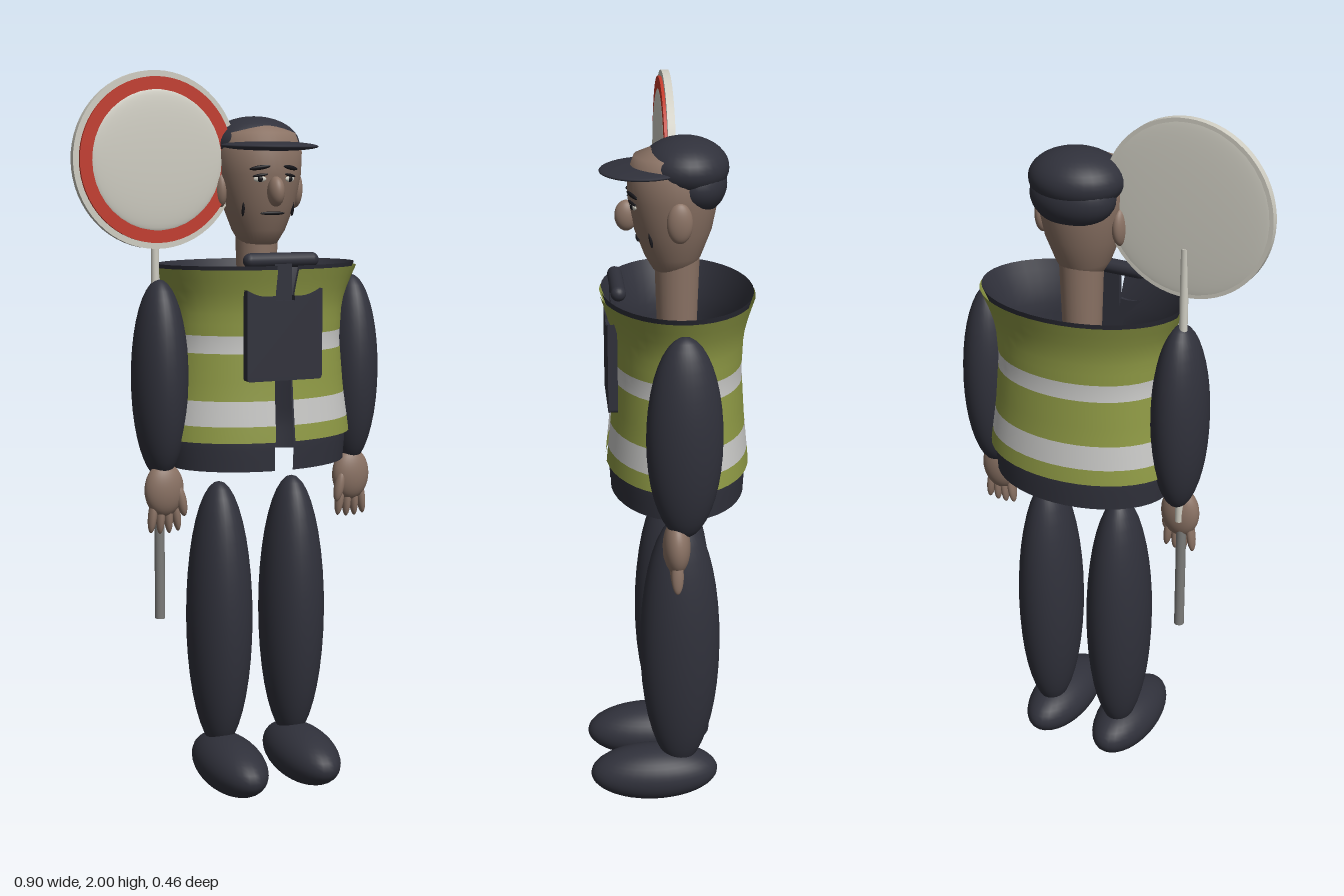
import * as THREE from 'three';

const mat = (name, color, side = THREE.FrontSide) => {
  const m = new THREE.MeshStandardMaterial({ color, side });
  m.name = name;
  return m;
};

export function createModel() {
  const root = new THREE.Group();
  root.name = 'trafficOfficer';
  const CX = 0.08; // body centre line

  const navy = mat('navyCloth', 0x30313b, THREE.DoubleSide);
  const lime = mat('limeVest', 0x8f9a45, THREE.DoubleSide);
  const silver = mat('silverTape', 0xc9c9c7, THREE.DoubleSide);
  const skin = mat('skin', 0x8a7264);
  const cream = mat('signWhite', 0xcfcdc2);
  const red = mat('signRed', 0xc23a2b);
  const grey = mat('gripGrey', 0x7b7b79);
  const black = mat('faceBlack', 0x17161a);

  const add = (name, geo, material, x, y, z, parent = root) => {
    const m = new THREE.Mesh(geo, material);
    m.name = name;
    m.position.set(x, y, z);
    parent.add(m);
    return m;
  };
  const ball = new THREE.SphereGeometry(1, 32, 20);
  const blob = (name, material, pos, radii, parent = root) => {
    const m = add(name, ball, material, ...pos, parent);
    m.scale.set(...radii);
    return m;
  };

  // Legs, shoes, sleeves and hands, mirrored about the centre line
  for (const [side, s] of [['left', 1], ['right', -1]]) {
    blob(side + 'Leg', navy, [CX + s * 0.113, 0.495, -0.024], [0.091, 0.39, 0.111]);
    blob(side + 'Shoe', navy, [CX + s * 0.113, 0.082, 0.048], [0.088, 0.078, 0.182]);
    blob(side + 'Sleeve', navy, [CX + s * 0.29, 1.18, -0.018], [0.076, 0.272, 0.098]);
    const hand = new THREE.Group();
    hand.name = side + 'Hand';
    hand.position.set(CX + s * 0.288, 0.88, 0.002);
    root.add(hand);
    blob('palm', skin, [0, 0, 0], [0.056, 0.075, 0.036], hand);
    for (let i = 0; i < 4; i++) {
      const u = i - 1.5;
      const finger = blob('finger', skin, [u * 0.023, -0.075 + Math.abs(u) * 0.004, 0], [0.012, 0.05, 0.016], hand);
      finger.rotation.z = u * 0.08;
    }
    const thumb = blob('thumb', skin, [-s * 0.044, -0.03, 0.016], [0.014, 0.046, 0.016], hand);
    thumb.rotation.z = -s * 0.2;
  }

  // Hollow jacket and vest: one flared profile, open down the front
  const profile = [[0.94, 0.262], [1.02, 0.268], [1.15, 0.249], [1.28, 0.237], [1.38, 0.243], [1.43, 0.26], [1.49, 0.288]];
  const radiusAt = (table, y) => {
    let i = 0;
    while (i < table.length - 2 && y > table[i + 1][0]) i++;
    const [y0, r0] = table[i], [y1, r1] = table[i + 1];
    return r0 + (r1 - r0) * (y - y0) / (y1 - y0);
  };
  const coat = (name, material, y0, y1, offset) => {
    const points = [];
    const n = Math.max(2, Math.ceil((y1 - y0) / 0.03));
    for (let i = 0; i <= n; i++) {
      const y = y0 + (y1 - y0) * i / n;
      points.push(new THREE.Vector2(radiusAt(profile, y) + offset, y));
    }
    const gap = 0.105;
    const m = add(name, new THREE.LatheGeometry(points, 40, gap, Math.PI * 2 - gap * 2), material, CX, 0, -0.023);
    m.scale.z = 0.7;
  };
  coat('jacket', navy, 0.938, 1.492, -0.004);
  const bands = [1.018, 1.062, 1.13, 1.257, 1.305, 1.482];
  for (let i = 0; i < 5; i++) {
    coat(i % 2 ? 'reflectiveBand' : 'vestPanel', i % 2 ? silver : lime, bands[i], bands[i + 1], 0.007);
  }

  // Chest panel with notched top, its strap and the collar bar
  const chest = new THREE.Shape();
  chest.moveTo(-0.1, -0.122);
  chest.lineTo(0.1, -0.122);
  chest.quadraticCurveTo(0.111, -0.122, 0.111, -0.11);
  chest.lineTo(0.111, 0.122);
  chest.quadraticCurveTo(0.07, 0.098, 0.028, 0.105);
  chest.lineTo(0.028, 0.092);
  chest.lineTo(-0.028, 0.092);
  chest.lineTo(-0.028, 0.105);
  chest.quadraticCurveTo(-0.07, 0.098, -0.111, 0.122);
  chest.lineTo(-0.111, -0.11);
  chest.quadraticCurveTo(-0.111, -0.122, -0.1, -0.122);
  add('chestPanel', new THREE.ExtrudeGeometry(chest, { depth: 0.025, bevelEnabled: false }), navy, CX - 0.002, 1.307, 0.14);
  add('chestStrap', new THREE.BoxGeometry(0.05, 0.12, 0.015), navy, CX - 0.002, 1.45, 0.145);
  const bar = add('collarBar', new THREE.CapsuleGeometry(0.02, 0.18, 6, 16), navy, CX - 0.001, 1.505, 0.135);
  bar.rotation.z = Math.PI / 2;

  // Head and neck
  add('neck', new THREE.CylinderGeometry(0.06, 0.052, 0.23, 24), skin, CX, 1.485, -0.023);
  const headTable = [[1.53, 0.03], [1.545, 0.052], [1.58, 0.073], [1.65, 0.1], [1.73, 0.116], [1.79, 0.118], [1.84, 0.1], [1.87, 0.03]];
  const headPoints = [new THREE.Vector2(0, 1.527), ...headTable.map(([y, r]) => new THREE.Vector2(r, y)), new THREE.Vector2(0, 1.875)];
  const HZ = -0.012;
  add('head', new THREE.LatheGeometry(headPoints, 40), skin, CX, 0, HZ);
  blob('nose', skin, [CX - 0.004, 1.685, 0.108], [0.022, 0.04, 0.03]);
  for (const s of [-1, 1]) blob('ear', skin, [CX + s * 0.113, 1.69, -0.02], [0.02, 0.052, 0.033]);

  // Facial features as thin plates lying on the face
  const feature = (name, material, x, y, w, h, tilt = 0, lift = 0) => {
    const z = HZ + Math.sqrt(radiusAt(headTable, y) ** 2 - x * x) + lift;
    const m = blob(name, material, [CX + x, y, z], [w, h, 0.005]);
    m.rotation.set(0.1, Math.atan2(x, z - HZ), tilt, 'YXZ');
  };
  for (const s of [-1, 1]) {
    feature('eyebrow', black, s * 0.045, 1.748, 0.028, 0.006, -s * 0.15);
    feature('eyeWhite', cream, s * 0.044, 1.718, 0.017, 0.008);
    feature('pupil', black, s * 0.044, 1.718, 0.008, 0.008, 0, 0.002);
    feature('eyelid', black, s * 0.044, 1.728, 0.021, 0.004, -s * 0.15);
    feature('cheekLine', black, s * 0.073, 1.64, 0.004, 0.022, s * 0.15);
  }
  feature('mouth', black, 0, 1.627, 0.036, 0.005);

  // Peaked cap
  blob('capCrown', navy, [CX, 1.81, -0.042], [0.128, 0.076, 0.113]);
  blob('capBack', navy, [CX, 1.77, -0.065], [0.117, 0.082, 0.085]);
  const visor = blob('capVisor', navy, [CX, 1.805, 0.06], [0.134, 0.013, 0.117]);
  visor.rotation.x = 0.03;

  // Hand-held round sign
  const sign = new THREE.Group();
  sign.name = 'signPaddle';
  sign.position.set(-0.218, 1.767, 0);
  root.add(sign);
  const disc = (name, material, r, depth, z) => {
    const m = add(name, new THREE.CylinderGeometry(r, r, depth, 64), material, 0, 0, z, sign);
    m.rotation.x = Math.PI / 2;
  };
  disc('signPlate', cream, 0.233, 0.02, -0.017);
  blob('signBack', cream, [0, 0, -0.024], [0.232, 0.232, 0.011], sign);
  disc('signRing', red, 0.217, 0.009, -0.0035);
  blob('signFace', cream, [0, 0, -0.001], [0.186, 0.186, 0.013], sign);
  add('signPole', new THREE.CylinderGeometry(0.011, 0.011, 0.8, 16), cream, 0, -0.5, -0.027, sign);
  add('signGrip', new THREE.CylinderGeometry(0.014, 0.014, 0.42, 16), grey, 0, -1.042, -0.01, sign);

  return root;
}
